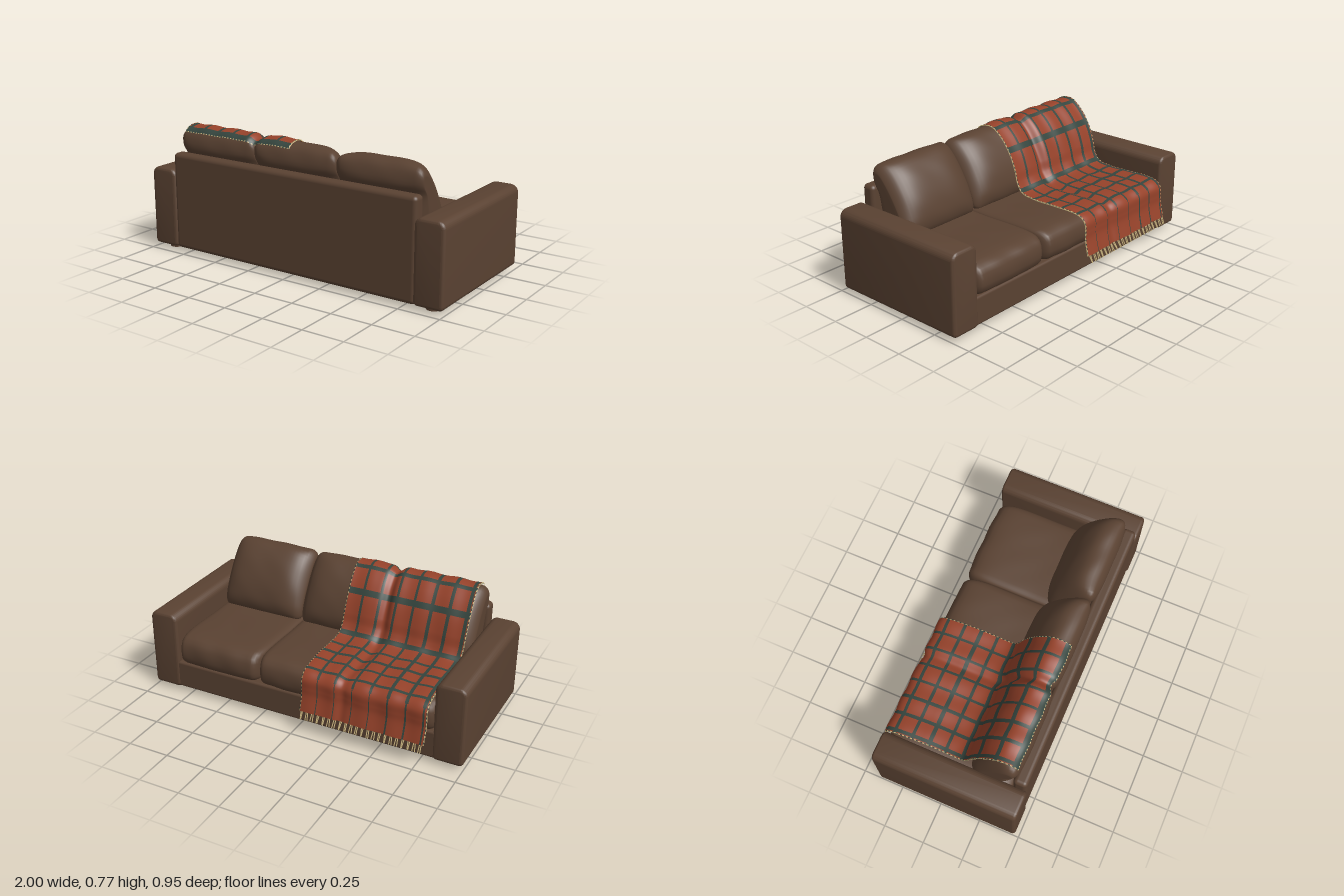
import * as THREE from 'three';
import { RoundedBoxGeometry } from 'three/addons/geometries/RoundedBoxGeometry.js';
import { toCreasedNormals } from 'three/addons/utils/BufferGeometryUtils.js';

const material = (name, color, side = THREE.FrontSide) => {
  const m = new THREE.MeshStandardMaterial({ color, side });
  m.name = name;
  return m;
};

export function createModel() {
  const model = new THREE.Group();
  model.name = 'sofa';
  const leather = material('brown leather', 0x5a4232);
  const rust = material('rust wool', 0x96422a, THREE.DoubleSide);
  const teal = material('dark teal wool', 0x35453e, THREE.DoubleSide);
  const cream = material('cream thread', 0xc6b07c, THREE.DoubleSide);

  const add = (name, geometry, mat) => {
    const mesh = new THREE.Mesh(geometry, mat);
    mesh.name = name;
    model.add(mesh);
    return mesh;
  };
  // Rounded block given by its limits on each axis
  const block = (name, [x0, x1], [y0, y1], [z0, z1], r) => {
    const mesh = add(name, new RoundedBoxGeometry(x1 - x0, y1 - y0, z1 - z0, 5, r), leather);
    mesh.position.set((x0 + x1) / 2, (y0 + y1) / 2, (z0 + z1) / 2);
  };
  const smoothPath = (points, closed, count) => new THREE.CatmullRomCurve3(
    points.map(([z, y]) => new THREE.Vector3(0, y, z)), closed, 'centripetal').getSpacedPoints(count);

  // Frame
  block('backrest', [-0.83, 0.83], [0.022, 0.61], [0.385, 0.468], 0.025);
  block('seatBase', [-0.84, 0.84], [0.03, 0.2], [-0.394, 0.4], 0.015);
  block('backRail', [-0.82, 0.82], [0.022, 0.09], [0.33, 0.37], 0.01);

  // Arms: a section with a softly rounded top, bevelled at both ends
  const bevel = 0.02, w = 0.07, low = 0.045, high = 0.487, rt = 0.026, rb = 0.006;
  const section = new THREE.Shape();
  section.absarc(w - rb, low + rb, rb, -Math.PI / 2, 0);
  section.absarc(w - rt, high - rt, rt, 0, Math.PI / 2);
  section.absarc(rt - w, high - rt, rt, Math.PI / 2, Math.PI);
  section.absarc(rb - w, low + rb, rb, Math.PI, Math.PI * 1.5);
  const armGeometry = toCreasedNormals(new THREE.ExtrudeGeometry(section, {
    depth: 0.875 - 2 * bevel, bevelSize: bevel, bevelThickness: bevel, bevelSegments: 5, curveSegments: 8,
  }), 0.6);
  for (const s of [-1, 1]) {
    const arm = add(s > 0 ? 'leftArm' : 'rightArm', armGeometry, leather);
    arm.position.set(s * 0.91, 0, -0.4 + bevel);
    for (const z of [-0.31, 0.388]) {
      const foot = add('foot', new THREE.CylinderGeometry(0.041, 0.041, 0.04, 28), leather);
      foot.position.set(s * 0.902, 0.02, z);
    }
  }

  // Cushion: a side profile swept along x, crowned, with rounded ends that thin by pinch across a tilt
  const cushionGeometry = (profile, x0, x1, seed, pinch, tilt) => {
    const n = 56, r = 0.045, rings = [];
    const pts = smoothPath(profile, true, n).slice(0, n);
    const centre = pts.reduce((a, p) => a.add(p), new THREE.Vector3()).divideScalar(n);
    const across = new THREE.Vector3(0, -Math.cos(tilt), Math.sin(tilt));
    const half = (x1 - x0) / 2, mid = (x0 + x1) / 2;
    const end = [[half, 0], [half, 0.4]];
    for (let k = 0; k <= 6; k++) {
      const a = (k / 6) * Math.PI / 2;
      end.push([half - r + r * Math.cos(a), 0.8 + 0.2 * Math.sin(a)]);
    }
    end.forEach(([x, s]) => rings.push([-x, s]));
    for (let k = 1; k < 20; k++) rings.push([(half - r) * (k / 10 - 1), 1]);
    rings.push(...end.slice().reverse());
    const pos = [], index = [];
    rings.forEach(([x, s], i) => {
      const u = Math.abs(x / half);
      const crown = 0.018 * (1 - u * u);
      pts.forEach((p, j) => {
        const crease = 0.006 * Math.sin(x * 31 + j * 0.45 + seed) * Math.sin(j * 0.337 + seed);
        const d = p.clone().sub(centre).multiplyScalar(s * (1 + crown + crease));
        d.addScaledVector(across, -d.dot(across) * pinch * u ** 5);
        pos.push(mid + x, centre.y + d.y, centre.z + d.z);
        if (i + 1 < rings.length) {
          const a = i * n + j, c = i * n + (j + 1) % n;
          index.push(a, a + n, c, a + n, c + n, c);
        }
      });
    });
    const g = new THREE.BufferGeometry();
    g.setAttribute('position', new THREE.Float32BufferAttribute(pos, 3));
    g.setIndex(index);
    g.computeVertexNormals();
    return g;
  };
  const backProfile = [[0.375, 0.36], [0.384, 0.58], [0.412, 0.63], [0.408, 0.68], [0.385, 0.728],
    [0.35, 0.749], [0.29, 0.749], [0.22, 0.695], [0.155, 0.6], [0.118, 0.51], [0.106, 0.43], [0.13, 0.365], [0.22, 0.345]];
  const seatProfile = [[0.36, 0.2], [0.37, 0.32], [0.32, 0.36], [0, 0.372], [-0.33, 0.368],
    [-0.38, 0.345], [-0.4, 0.285], [-0.392, 0.215], [-0.36, 0.19], [0, 0.188], [0.32, 0.188]];
  [-0.826, -0.283, 0.28].forEach((x, i) => {
    const x1 = [-0.285, 0.277, 0.822][i];
    add('backCushion', cushionGeometry(backProfile, x, x1, i * 2.1, 0.55, 0.95), leather);
    add('seatCushion', cushionGeometry(seatProfile, x, x1, i * 1.7 + 1, 0.08, 0), leather);
  });

  // Throw blanket: a draped sheet, checked by position, with a cream rim down each side
  const path = smoothPath([[0.398, 0.73], [0.38, 0.747], [0.345, 0.761], [0.285, 0.761], [0.213, 0.706],
    [0.146, 0.608], [0.107, 0.515], [0.088, 0.45], [0.05, 0.4], [-0.05, 0.383], [-0.2, 0.384],
    [-0.34, 0.38], [-0.395, 0.365], [-0.423, 0.332], [-0.427, 0.28], [-0.429, 0.235], [-0.452, 0.14]], false, 200);
  const rows = path.length, cols = 152, left = -0.79, width = 0.76;
  const drape = (u, i, drop = 0) => {
    const p = path[i], t = path[Math.min(i + 1, rows - 1)].clone().sub(path[Math.max(i - 1, 0)]).normalize();
    const x = left + width * u + 0.006 * Math.sin(i * 0.05 + 2);
    const depth = 0.014 + 0.018 * THREE.MathUtils.smoothstep(p.z, 0.05, 0.15);
    const dip = -depth * Math.exp(-(((x + 0.284) / 0.032) ** 2));
    const lift = dip + 0.003 + 0.003 * Math.sin(x * 37 + i * 0.025) - drop;
    return new THREE.Vector3(x, p.y - t.z * lift, p.z + t.y * lift);
  };
  const nearLine = (v, offset, pitch) => {
    const q = (v - offset) / pitch;
    return Math.abs(q - Math.round(q)) * pitch;
  };
  const pos = [], faces = [[], [], []];
  for (let i = 0; i < rows; i++) {
    for (let j = 0; j <= cols; j++) {
      const rim = j === 0 || j === cols;
      const u = THREE.MathUtils.clamp((j - 1) / (cols - 2), 0, 1);
      pos.push(...drape(u, i, rim ? 0.006 : 0).toArray());
      if (i === rows - 1 || j === cols) continue;
      const z = path[i].z, x = left + width * (j - 0.5) / (cols - 2);
      let kind = 0;
      if (nearLine(x, -0.663, 0.107) < (z < -0.41 ? 0.004 : 0.009)) kind = 1;
      if (z > 0.37 || (z > -0.41 && nearLine(z, -0.36, 0.105) < 0.01)) kind = 1;
      if (j === 1 || j === cols - 2 || i === 0) kind = (i + j) % 4 < 2 ? 2 : 1;
      if (j === 0 || j === cols - 1) kind = 2;
      const a = i * (cols + 1) + j, b = a + cols + 1;
      faces[kind].push(a, a + 1, b, a + 1, b + 1, b);
    }
  }
  const sheet = new THREE.BufferGeometry();
  sheet.setAttribute('position', new THREE.Float32BufferAttribute(pos, 3));
  sheet.setIndex(faces.flat());
  let start = 0;
  faces.forEach((f, k) => {
    sheet.addGroup(start, f.length, k);
    start += f.length;
  });
  sheet.computeVertexNormals();
  add('throwBlanket', sheet, [rust, teal, cream]);

  // Fringe: pairs of strands along the hanging edge
  for (let k = 0; k < 44; k++) {
    const p = drape((Math.floor(k / 2) + 0.36 + 0.28 * (k % 2)) / 22, rows - 1);
    const tip = new THREE.Vector3(p.x + 0.004 * Math.sin(k * 2.3), 0.1, -0.474);
    const strand = add('fringe', new THREE.CylinderGeometry(0.003, 0.003, p.distanceTo(tip), 6), cream);
    strand.position.copy(p).lerp(tip, 0.5);
    strand.quaternion.setFromUnitVectors(new THREE.Vector3(0, 1, 0), p.clone().sub(tip).normalize());
  }
  return model;
}
